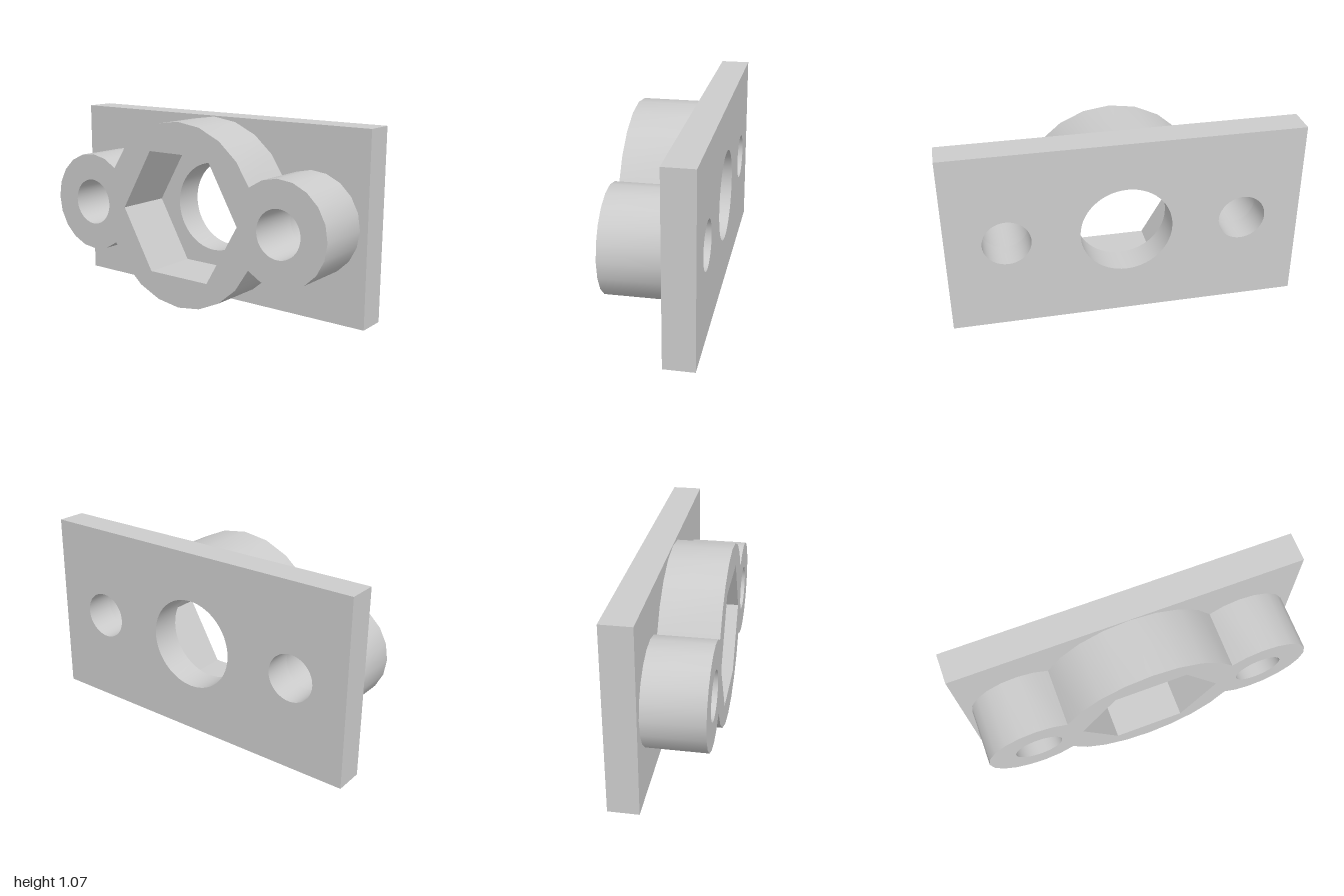
import * as THREE from 'three';
import { toCreasedNormals } from 'three/addons/utils/BufferGeometryUtils.js';

const CY = 0.535;                    // height of the common axis line
const BACK = -0.25, STEP = -0.08, FRONT = 0.25;
const EAR_X = 0.665, EAR_R = 0.29, MAIN_R = 0.53;

// Points along an arc, both ends included
function arc(cx, r, from, to, steps) {
  return Array.from({ length: steps + 1 }, (_, i) => {
    const a = from + (to - from) * i / steps;
    return new THREE.Vector2(cx + r * Math.cos(a), CY + r * Math.sin(a));
  });
}

// Closed regular polygon, used for round and hexagonal holes
function ring(cx, r, sides) {
  return new THREE.Path(arc(cx, r, 0, Math.PI * 2, sides).slice(0, -1));
}

function slab(name, shape, z0, z1, material) {
  const geo = new THREE.ExtrudeGeometry(shape, { depth: z1 - z0, bevelEnabled: false });
  geo.translate(0, 0, z0);
  const mesh = new THREE.Mesh(toCreasedNormals(geo, 0.5), material);
  mesh.name = name;
  return mesh;
}

export function createModel() {
  const group = new THREE.Group();
  group.name = 'mountingFlange';
  const material = new THREE.MeshStandardMaterial({ color: 0xcccccc });
  const boltHoles = () => [-EAR_X, EAR_X].map(x => ring(x, 0.135, 40));

  // Rectangular back plate with a round bore and two bolt holes
  const plate = new THREE.Shape([[-1, 0], [1, 0], [1, 2 * CY], [-1, 2 * CY]]
    .map(([x, y]) => new THREE.Vector2(x, y)));
  plate.holes.push(ring(0, 0.26, 56), ...boltHoles());
  group.add(slab('backPlate', plate, BACK, STEP, material));

  // Boss outline: large circle merged with an ear on each side
  const jx = (EAR_X ** 2 + MAIN_R ** 2 - EAR_R ** 2) / (2 * EAR_X);
  const a = Math.acos(jx / MAIN_R);             // junction angle on the main circle
  const b = Math.acos((jx - EAR_X) / EAR_R);    // junction angle on the ear
  const outline = [
    ...arc(EAR_X, EAR_R, -b, b, 14),
    ...arc(0, MAIN_R, a, Math.PI - a, 8).slice(1),
    ...arc(-EAR_X, EAR_R, Math.PI - b, Math.PI + b, 14).slice(1),
    ...arc(0, MAIN_R, Math.PI + a, Math.PI * 2 - a, 8).slice(1, -1),
  ];

  // Raised boss with a hexagonal nut pocket and two bolt holes
  const boss = new THREE.Shape(outline);
  boss.holes.push(ring(0, 0.405, 6), ...boltHoles());
  group.add(slab('earedBoss', boss, STEP, FRONT, material));

  return group;
}
